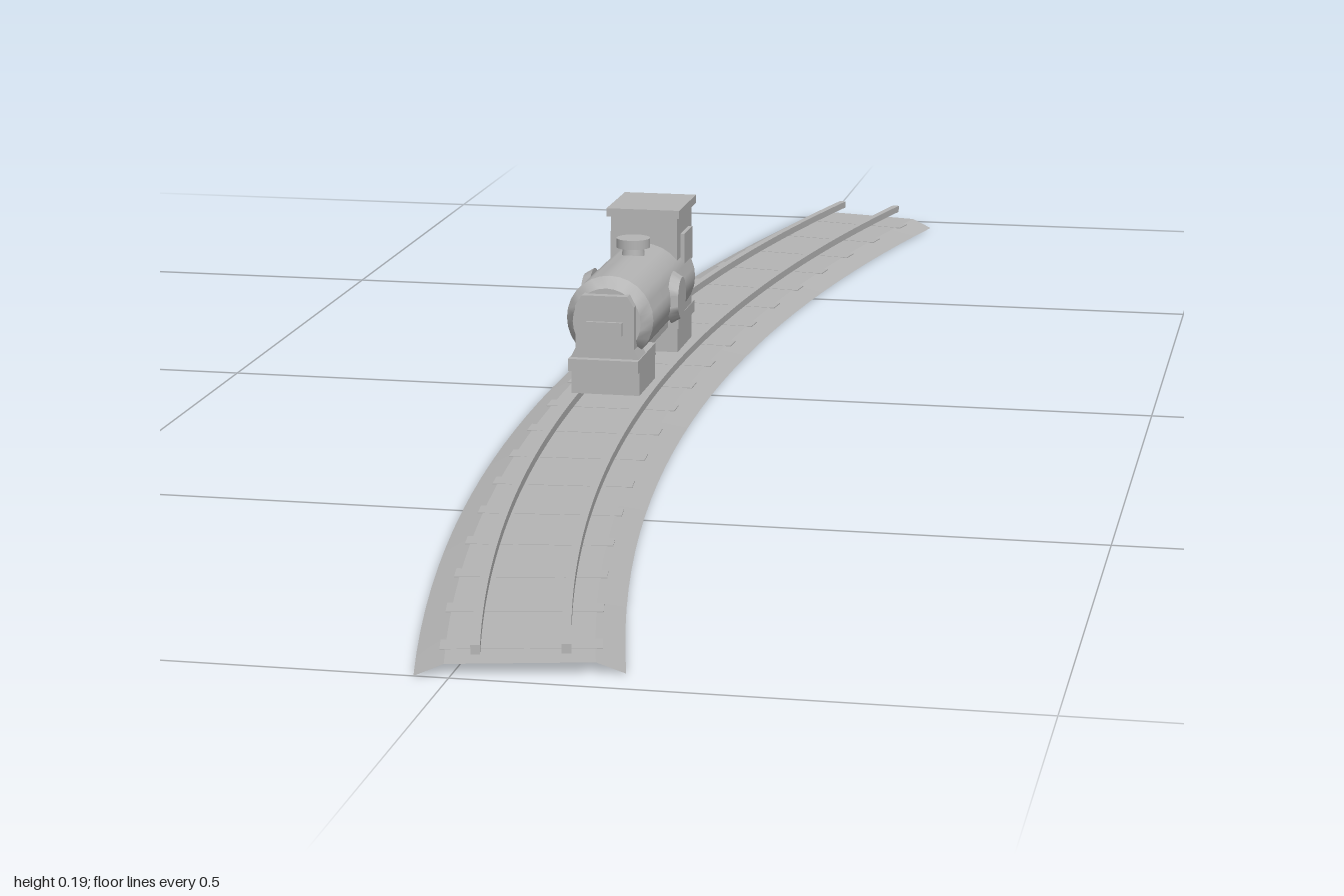
import * as THREE from 'three';
import { toCreasedNormals } from 'three/addons/utils/BufferGeometryUtils.js';

const grey = new THREE.MeshStandardMaterial({ color: 0xb4b4b4 });
grey.name = 'plain grey';
const greySheet = new THREE.MeshStandardMaterial({ color: 0xb4b4b4, side: THREE.DoubleSide });
greySheet.name = 'plain grey sheet';

// The track is an arc about (CX, 0, 0)
const CX = 4.255, MID = 4.3118, HALF = 0.2293;

function add(parent, name, geometry, x = 0, y = 0, z = 0, material = grey) {
  const mesh = new THREE.Mesh(geometry, material);
  mesh.name = name;
  mesh.position.set(x, y, z);
  parent.add(mesh);
  return mesh;
}

// Box given by its width and its y and z limits, centred on x
function block(parent, name, w, y0, y1, z0, z1, x = 0) {
  return add(parent, name, new THREE.BoxGeometry(w, y1 - y0, z1 - z0), x, (y0 + y1) / 2, (z0 + z1) / 2);
}

function buildTrack() {
  const track = new THREE.Group();
  track.name = 'track';
  track.position.x = CX;

  // Open-ended ballast bed with sloping shoulders
  const profile = [[4.4, 0], [4.375, 0.01], [4.25, 0.01], [4.225, 0]].map(p => new THREE.Vector2(...p));
  const bed = new THREE.LatheGeometry(profile, 32, -Math.PI / 2 - HALF, 2 * HALF);
  add(track, 'ballastBed', toCreasedNormals(bed, 0.3), 0, 0, 0, greySheet);

  // Rails
  for (const [name, r] of [['outerRail', 4.345], ['innerRail', 4.27]]) {
    const s = new THREE.Shape();
    s.absarc(0, 0, r + 0.008, Math.PI - HALF, Math.PI + HALF, false);
    s.absarc(0, 0, r, Math.PI + HALF, Math.PI - HALF, true);
    const g = new THREE.ExtrudeGeometry(s, { depth: 0.008, bevelEnabled: false, curveSegments: 32 });
    g.rotateX(-Math.PI / 2);
    add(track, name, g, 0, 0.018, 0);
  }

  // Sleepers, almost flush with the bed
  const count = 19;
  const plank = new THREE.BoxGeometry(0.136, 0.001, 0.026);
  for (let i = 0; i < count; i++) {
    const a = HALF * (2 * (i + 0.5) / count - 1);
    const sleeper = add(track, 'sleeper', plank, -MID * Math.cos(a), 0.0099, MID * Math.sin(a));
    sleeper.rotation.y = a;
  }
  return track;
}

function buildLocomotive() {
  const loco = new THREE.Group();
  loco.name = 'locomotive';
  loco.position.x = -0.055;

  // Boiler with tapered ends
  const outline = [[0, -0.125], [0.036, -0.125], [0.046, -0.11], [0.046, 0.118], [0.036, 0.135], [0, 0.135]];
  const boiler = new THREE.LatheGeometry(outline.map(p => new THREE.Vector2(...p)), 28);
  boiler.rotateX(Math.PI / 2);
  add(loco, 'boiler', toCreasedNormals(boiler, 0.5), 0, 0.106, 0);

  // Smokebox front with chamfered upper corners
  const face = new THREE.Shape([
    [-0.036, 0.07], [0.036, 0.07], [0.031, 0.08], [0.031, 0.125], [0.024, 0.136],
    [-0.024, 0.136], [-0.031, 0.125], [-0.031, 0.08]].map(p => new THREE.Vector2(...p)));
  add(loco, 'smokeboxFront', new THREE.ExtrudeGeometry(face, { depth: 0.035, bevelEnabled: false }), 0, 0, 0.11);
  block(loco, 'frontPlate', 0.038, 0.095, 0.109, 0.144, 0.149);

  // Underframe, footplates and skirts at both ends
  block(loco, 'underframe', 0.05, 0.058, 0.072, -0.07, 0.07);
  for (const [end, z0, z1] of [['front', 0.062, 0.142], ['rear', -0.142, -0.062]]) {
    block(loco, end + 'Skirt', 0.072, 0.031, 0.058, z0, z1);
    const front = end === 'front';
    block(loco, end + 'Footplate', 0.074, 0.057, 0.07, front ? z0 : z0 - 0.01, front ? z1 + 0.012 : z1);
  }

  // Cab and roof
  block(loco, 'cab', 0.073, 0.068, 0.182, -0.138, -0.056);
  block(loco, 'roof', 0.08, 0.181, 0.19, -0.146, -0.05);
  for (const s of [-1, 1]) {
    block(loco, 'sideWindowFrame', 0.006, 0.125, 0.16, -0.12, -0.075, s * 0.038);

    // Round boss on the flank of the boiler
    const disc = new THREE.CylinderGeometry(0.022, 0.028, 0.01, 24).rotateZ(-s * Math.PI / 2);
    add(loco, 'sideDisc', toCreasedNormals(disc, 0.6), s * 0.048, 0.106, 0);
  }
  const rear = new THREE.CylinderGeometry(0.031, 0.031, 0.006, 24).rotateX(Math.PI / 2);
  add(loco, 'rearDisc', rear, 0, 0.106, -0.139);

  // Chimney with a wide cap
  add(loco, 'chimneyStem', new THREE.CylinderGeometry(0.011, 0.013, 0.016, 16), 0, 0.154, 0);
  add(loco, 'chimneyCap', new THREE.CylinderGeometry(0.018, 0.018, 0.01, 20), 0, 0.164, 0);
  return loco;
}

export function createModel() {
  const model = new THREE.Group();
  model.name = 'trainOnTrack';
  model.add(buildTrack(), buildLocomotive());
  return model;
}
